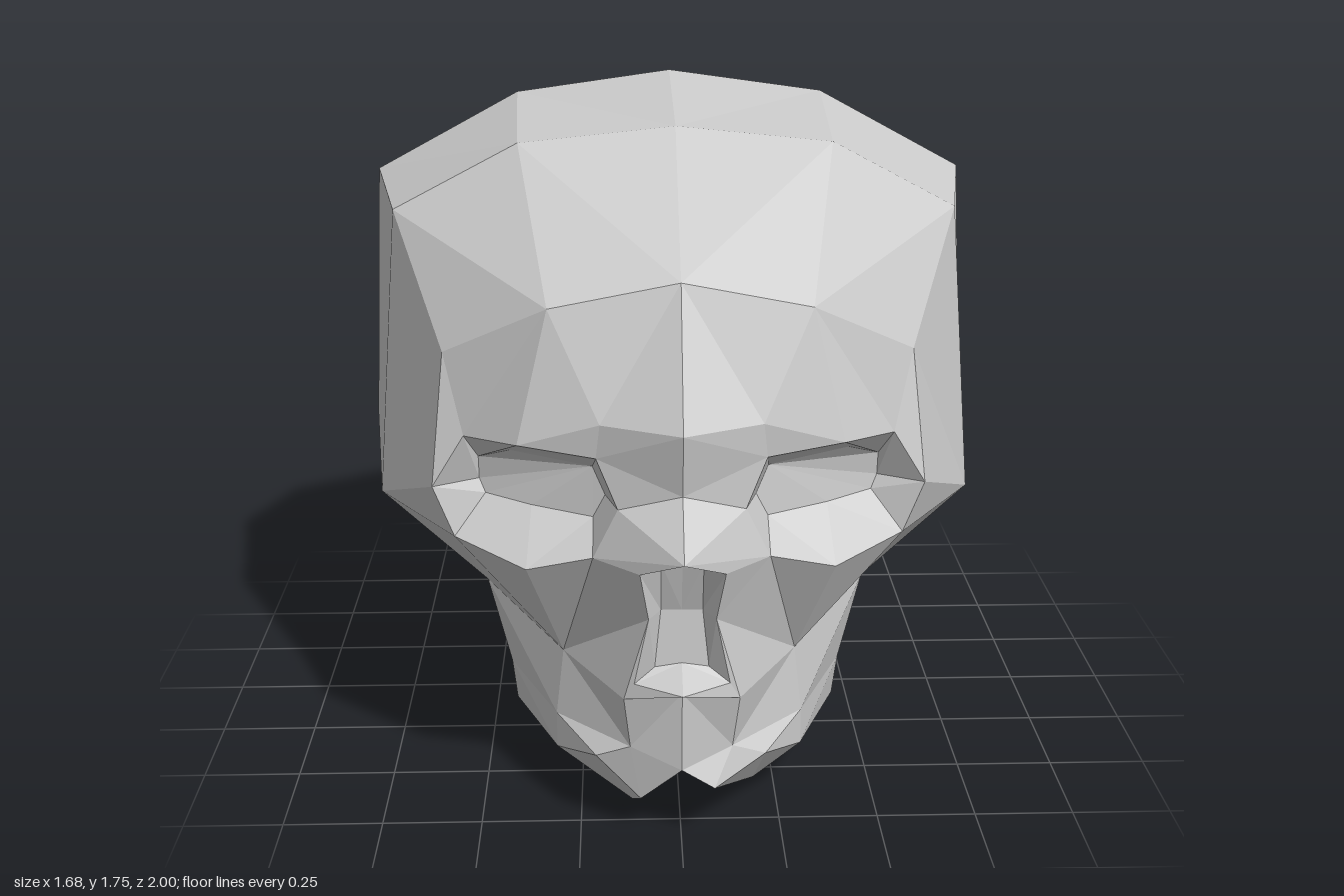
import * as THREE from 'three';

const bone = new THREE.MeshStandardMaterial({ color: 0xcccccc, flatShading: true, side: THREE.DoubleSide });
const CENTRE = new THREE.Vector3(0, 0.75, 0);

// Mesh from polygons; each triangle is turned away from (sign 1) or towards (sign -1) a reference point
function facets(name, polygons, ref = CENTRE, sign = 1) {
  const pos = [];
  const v = (p) => new THREE.Vector3(...p);
  for (const poly of polygons) {
    for (let i = 1; i < poly.length - 1; i++) {
      const t = [v(poly[0]), v(poly[i]), v(poly[i + 1])];
      const n = t[1].clone().sub(t[0]).cross(t[2].clone().sub(t[0]));
      const mid = t[0].clone().add(t[1]).add(t[2]).divideScalar(3).sub(ref);
      if (n.dot(mid) * sign < 0) t.reverse();
      t.forEach((p) => pos.push(p.x, p.y, p.z));
    }
  }
  const geo = new THREE.BufferGeometry();
  geo.setAttribute('position', new THREE.Float32BufferAttribute(pos, 3));
  geo.computeVertexNormals();
  const mesh = new THREE.Mesh(geo, bone);
  mesh.name = name;
  return mesh;
}

// Quads between successive rows of points
function loft(rows) {
  const out = [];
  for (let r = 0; r < rows.length - 1; r++)
    for (let i = 0; i < rows[r].length - 1; i++)
      out.push([rows[r][i], rows[r][i + 1], rows[r + 1][i + 1], rows[r + 1][i]]);
  return out;
}

function buildHalf(s) {
  const half = new THREE.Group();
  half.name = s > 0 ? 'leftHalf' : 'rightHalf';
  const m = (pts) => pts.map(([x, y, z]) => [x * s, y, z]);
  const add = (...args) => half.add(facets(...args));

  // Cross rows of the vault: middle line, shoulder, side edge
  const forehead = m([[0, 1.4, 0.75], [0.31, 1.335, 0.73], [0.57, 1.19, 0.58]]);
  const frontTop = m([[0, 1.69, 0.33], [0.39, 1.65, 0.33], [0.71, 1.475, 0.28]]);
  const crown = m([[0, 1.75, -0.25], [0.42, 1.69, -0.26], [0.81, 1.48, -0.25]]);
  const backTop = m([[0, 1.45, -0.825], [0.39, 1.43, -0.81], [0.76, 1.32, -0.69]]);
  const back = m([[0, 0.92, -1], [0.39, 0.92, -0.98], [0.74, 0.91, -0.81]]);
  const nape = m([[0, 0.47, -0.86], [0.33, 0.48, -0.83], [0.61, 0.535, -0.69]]);
  const baseBack = m([[0, 0.155, -0.57], [0.2, 0.16, -0.55], [0.33, 0.275, -0.44]]);
  const baseFront = m([[0, 0.2, 0.03], [0.22, 0.17, 0.03], [0.4, 0.265, 0.09]]);
  // Jaw rows; the chin hangs lower on the right half
  const jawBack = m([[0, 0.12, 0.31], [0.22, 0.035, 0.31], [0.43, 0.125, 0.31]]);
  const jawMid = m([[0, 0.13, 0.65], s > 0 ? [0.19, 0.062, 0.65] : [0.12, 0.003, 0.65], [0.31, 0.16, 0.65]]);
  const jawFront = m([[0, 0.21, 0.87], s > 0 ? [0.08, 0.165, 0.88] : [0.1, 0.105, 0.82], [0.21, 0.21, 0.79]]);
  add('cranium', loft([forehead, frontTop, crown, backTop, back, nape]));
  add('skullBase', loft([nape, baseBack, baseFront, jawBack]));
  add('jawUnderside', loft([jawBack, jawMid, jawFront]));

  // Temple and side wall
  const temple = m([[0.77, 0.73, 0.31], [0.84, 0.78, -0.19]]);
  const low = m([[0.5, 0.48, 0.32], [0.445, 0.515, -0.06]]);
  const lip = m([[0.44, 0.25, 0.34], [0.31, 0.255, 0.65], [0.125, 0.255, 0.83]]);
  add('sideWall', [
    [frontTop[2], crown[2], temple[1], temple[0]],
    [crown[2], backTop[2], back[2], temple[1]],
    ...loft([[...temple, back[2]], [...low, nape[2]], [lip[0], baseFront[2], baseBack[2]]]),
    [lip[0], baseFront[2], jawBack[2]],
  ]);

  // Eye socket: rim, stepped walls and back plate
  const rim = m([
    [0.2, 1.0, 0.82], [0.385, 1.02, 0.78], [0.52, 1.0, 0.65], [0.6, 0.87, 0.65],
    [0.55, 0.74, 0.65], [0.37, 0.71, 0.79], [0.21, 0.755, 0.83], [0.15, 0.88, 0.84],
  ]);
  const inner = m([
    [0.21, 0.945, 0.72], [0.41, 0.967, 0.66], [0.49, 0.93, 0.6], [0.49, 0.87, 0.59],
    [0.475, 0.835, 0.6], [0.36, 0.825, 0.66], [0.21, 0.82, 0.73], [0.18, 0.88, 0.74],
  ]);
  add('eyeSocket', [...loft([[...rim, rim[0]], [...inner, inner[0]]]), inner],
    new THREE.Vector3(0.38 * s, 0.87, 1.3), -1);

  // Brow and temple front
  const brow = m([[0, 1.085, 0.92], [0.19, 1.085, 0.83]]);
  const bridge = [0, 0.93, 0.89];
  add('brow', [
    [forehead[0], forehead[1], brow[1]],
    [forehead[0], brow[1], brow[0]],
    [forehead[1], rim[1], brow[1]],
    [forehead[1], forehead[2], rim[2], rim[1]],
    [brow[1], rim[1], rim[0]],
    [brow[0], brow[1], rim[0], bridge],
    [bridge, rim[0], rim[7]],
    [forehead[2], frontTop[2], temple[0]],
    [forehead[2], temple[0], rim[3], rim[2]],
  ]);

  // Nose: bony bridge, opening edge and recess
  const tip = [0, 0.805, 1];
  const edge = m([[0.1, 0.75, 0.92], [0.08, 0.62, 0.885], [0.115, 0.445, 0.87]]);
  const recess = m([[0.05, 0.76, 0.88], [0.05, 0.62, 0.83], [0.065, 0.475, 0.84]]);
  const recessMid = [[0, 0.775, 0.88], [0, 0.62, 0.83], [0, 0.485, 0.84]];
  const spine = [0, 0.445, 0.94];
  const spineFoot = [0, 0.42, 0.875];
  const noseFoot = m([[0.14, 0.4, 0.86]])[0];
  add('noseBridge', [[bridge, tip, rim[7]], [tip, edge[0], rim[6], rim[7]]]);
  add('noseOpening', [
    [tip, edge[0], recess[0], recessMid[0]],
    ...loft([edge, recess]),
    ...loft([recess, recessMid]),
    [recessMid[2], recess[2], edge[2], spine],
  ], new THREE.Vector3(0, 0.6, 1.4), -1);

  // Cheek and upper jaw
  const cheek = m([[0.29, 0.43, 0.65]])[0];
  add('cheek', [
    [edge[0], rim[6], edge[1]],
    [rim[6], rim[5], cheek, edge[1]],
    [edge[1], cheek, noseFoot, edge[2]],
    [rim[5], rim[4], cheek],
    [rim[4], temple[0], low[0], cheek],
    [rim[4], rim[3], temple[0]],
  ]);
  add('upperJaw', [
    [low[0], lip[0], lip[1], cheek],
    [cheek, lip[1], lip[2], noseFoot],
    [edge[2], noseFoot, spine],
    [spine, noseFoot, spineFoot],
    [spineFoot, noseFoot, lip[2], jawFront[0]],
  ]);

  // Lower jaw band
  add('lowerJaw', [
    ...loft([lip, [jawBack[2], jawMid[2], jawFront[2]]]),
    [lip[2], jawFront[2], jawFront[1], jawFront[0]],
  ]);
  return half;
}

export function createModel() {
  const skull = new THREE.Group();
  skull.name = 'skull';
  for (const s of [1, -1]) skull.add(buildHalf(s));
  return skull;
}
